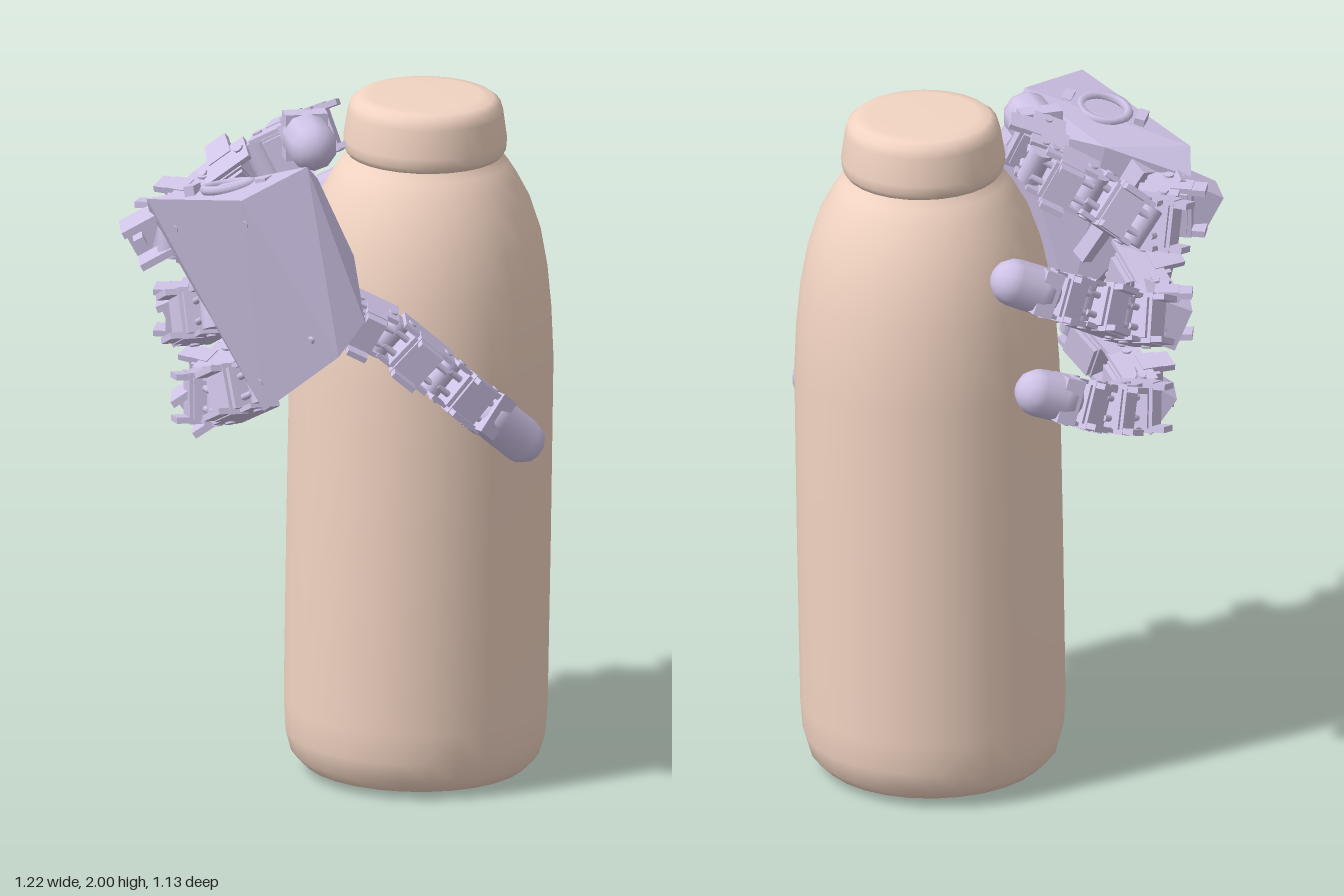
import * as THREE from 'three';
import { ConvexGeometry } from 'three/addons/geometries/ConvexGeometry.js';

const V = (x, y, z) => new THREE.Vector3(x, y, z);
const skin = new THREE.MeshStandardMaterial({ color: 0xf2d4c2 });
const shell = new THREE.MeshStandardMaterial({ color: 0xcfc3e6, flatShading: true });
const smoothShell = new THREE.MeshStandardMaterial({ color: 0xcfc3e6 });

function add(parent, name, geometry, material, x = 0, y = 0, z = 0) {
  const mesh = new THREE.Mesh(geometry, material);
  mesh.name = name;
  mesh.position.set(x, y, z);
  parent.add(mesh);
  return mesh;
}
const box = (parent, name, w, h, d, x, y, z) =>
  add(parent, name, new THREE.BoxGeometry(w, h, d), shell, x, y, z);

// Group whose z axis runs from a to b and whose y axis leans towards "out"
function boneFrame(name, a, b, out) {
  const z = b.clone().sub(a).normalize();
  const x = out.clone().cross(z).normalize();
  const y = z.clone().cross(x);
  const g = new THREE.Group();
  g.name = name;
  g.quaternion.setFromRotationMatrix(new THREE.Matrix4().makeBasis(x, y, z));
  g.position.copy(a);
  return g;
}

// One finger link: motor block, outer bracket, forked hinge plates, tendon rods, pin and screws
function phalanx(a, b, out, w) {
  const g = boneFrame('fingerLink', a, b, out);
  const L = a.distanceTo(b);
  box(g, 'motorBlock', w * 0.8, w * 0.85, L * 0.55, 0, 0, L * 0.5);
  box(g, 'blockCover', w, w * 0.4, L * 0.42, 0, w * 0.3, L * 0.5);
  box(g, 'linkPad', w * 0.7, w * 0.2, L * 0.5, 0, -w * 0.42, L * 0.5);
  for (const s of [-1, 1]) {
    box(g, 'outerBracket', w * 0.12, w * 0.3, L * 0.4, s * w * 0.42, w * 0.6, L * 0.5);
    box(g, 'forkPlate', w * 0.1, w * 0.66, L * 0.95, s * w * 0.43, -w * 0.05, L * 0.5);
    const rod = add(g, 'tendonRod', new THREE.CylinderGeometry(w * 0.07, w * 0.07, L, 8), smoothShell,
      s * w * 0.2, w * 0.2, L * 0.5);
    rod.rotation.x = Math.PI / 2;
    for (const t of [0.15, 0.85]) {
      const screw = add(g, 'screw', new THREE.CylinderGeometry(w * 0.1, w * 0.1, w * 0.06, 8), smoothShell,
        s * w * 0.49, 0, L * t);
      screw.rotation.z = Math.PI / 2;
    }
  }
  const pin = add(g, 'hingePin', new THREE.CylinderGeometry(w * 0.24, w * 0.24, w * 0.8, 12), smoothShell);
  pin.rotation.z = Math.PI / 2;
  return g;
}

// Rounded soft fingertip with a clamp at its root
function fingertip(a, b, out, w) {
  const g = boneFrame('fingertip', a, b, out);
  const L = a.distanceTo(b), r = w * 0.5;
  const pad = add(g, 'tipPad', new THREE.CapsuleGeometry(r, L * 0.8, 4, 10), smoothShell, 0, 0, L * 0.55);
  pad.rotation.x = Math.PI / 2;
  box(g, 'tipClamp', w * 0.95, w * 0.85, w * 0.4, 0, 0, 0);
  return g;
}

// Chain of links along points; the last span is the fingertip
function finger(name, points, w, axis) {
  const g = new THREE.Group();
  g.name = name;
  const p = points.map(q => V(...q));
  for (let i = 0; i < p.length - 1; i++) {
    const mid = p[i].clone().add(p[i + 1]).multiplyScalar(0.5);
    const out = mid.sub(V(axis[0], mid.y, axis[1]));
    const make = i === p.length - 2 ? fingertip : phalanx;
    g.add(make(p[i], p[i + 1], out, w * (1 - 0.015 * i)));
  }
  return g;
}

function makeBottle() {
  const g = new THREE.Group();
  g.name = 'bottle';
  const lathe = pts => new THREE.LatheGeometry(pts.map(([r, y]) => new THREE.Vector2(r, y)), 28);
  add(g, 'bottleBody', lathe([[0, 0], [0.27, 0], [0.32, 0.015], [0.355, 0.05], [0.372, 0.11], [0.378, 0.2],
    [0.379, 0.7], [0.378, 1.22], [0.37, 1.36], [0.357, 1.48], [0.336, 1.59], [0.302, 1.69], [0.264, 1.76],
    [0.238, 1.8], [0.216, 1.82], [0.205, 1.85]]), skin);
  add(g, 'bottleCap', lathe([[0.2, 1.822], [0.222, 1.825], [0.232, 1.842], [0.234, 1.87], [0.222, 1.95],
    [0.214, 1.975], [0.195, 1.99], [0.16, 1.995], [0, 1.995]]), skin);
  g.rotation.z = -0.017;
  g.position.set(0.138, 0.004, -0.19);
  return g;
}

function makePalm() {
  const g = new THREE.Group();
  g.name = 'palm';
  // Back plate corners first, then the inner edges
  const A = V(-0.5, 1.76, 0.3), B = V(-0.13, 1.86, 0.545), C = V(0.17, 1.43, 0.565), D = V(-0.14, 1.17, 0.32);
  const wrist = V(-0.28, 1.79, 0.17);
  add(g, 'palmShell', new ConvexGeometry([A, B, C, D, wrist,
    V(-0.02, 1.9, 0.29), V(0.19, 1.49, 0.395), V(-0.03, 1.83, 0.17), V(0.1, 1.63, 0.23),
    V(-0.52, 1.7, 0.22), V(-0.17, 1.26, 0.2), V(0.06, 1.38, 0.26)]), shell);

  // Local frame on the back plate: x across the plate, y up along it, z outward
  const center = A.clone().add(B).add(C).add(D).multiplyScalar(0.25);
  const normal = D.clone().sub(A).cross(B.clone().sub(A));
  const plate = boneFrame('backPlate', center, center.clone().add(normal), A.clone().sub(D));
  g.add(plate);
  for (const [x, y] of [[-0.17, 0.25], [0.17, 0.18], [-0.17, -0.25], [0.17, -0.2]]) {
    const s = add(plate, 'plateScrew', new THREE.CylinderGeometry(0.011, 0.011, 0.012, 10), smoothShell, x, y, 0);
    s.rotation.x = Math.PI / 2;
  }
  // Housings where the fingers leave the palm
  for (const y of [0.22, 0.0, -0.24])
    box(plate, 'knuckleHousing', 0.12, 0.13, 0.12, -0.19, y, -0.1);

  // Wrist socket with its locking lugs
  const seat = V(-0.24, 1.835, 0.34);
  const up = B.clone().sub(A).cross(wrist.clone().sub(A));
  const socket = boneFrame('wristSocket', seat, seat.clone().add(up), V(0, 0, 1));
  add(socket, 'socketRing', new THREE.TorusGeometry(0.07, 0.014, 6, 20), smoothShell);
  for (const s of [-1, 1]) box(socket, 'socketLug', 0.03, 0.06, 0.03, s * 0.11, 0, 0);
  g.add(socket);
  return g;
}

// U-shaped bracket standing off the outside of a knuckle
function motorBracket(x, y, z, turn, tilt) {
  const m = new THREE.Group();
  m.name = 'motorBracket';
  m.position.set(x, y, z);
  m.rotation.set(0, turn, tilt);
  box(m, 'bracketBase', 0.14, 0.13, 0.03, 0, 0, -0.05);
  for (const s of [-1, 1]) {
    box(m, 'bracketArm', 0.14, 0.02, 0.12, 0, s * 0.055, 0);
    box(m, 'bracketStud', 0.03, 0.03, 0.06, s * 0.04, 0, -0.01);
  }
  return m;
}

export function createModel() {
  const model = new THREE.Group();
  model.name = 'handHoldingBottle';
  model.add(makeBottle());

  const hand = new THREE.Group();
  hand.name = 'roboticHand';
  hand.add(makePalm());
  const grip = [0.16, -0.19];
  hand.add(finger('upperFinger', [[-0.46, 1.64, 0.21], [-0.47, 1.63, 0.07], [-0.44, 1.67, -0.08], [-0.3, 1.78, -0.12],
    [-0.15, 1.86, -0.15], [-0.13, 1.9, -0.01], [-0.07, 1.9, 0.095]], 0.155, [-0.2, 0.05]));
  hand.add(finger('middleFinger', [[-0.32, 1.44, 0.25], [-0.44, 1.35, 0.11], [-0.47, 1.36, -0.06], [-0.41, 1.44, -0.21],
    [-0.32, 1.52, -0.32], [-0.23, 1.58, -0.41], [-0.15, 1.62, -0.45]], 0.15, grip));
  hand.add(finger('lowerFinger', [[-0.18, 1.23, 0.24], [-0.34, 1.13, 0.13], [-0.44, 1.1, -0.03], [-0.41, 1.14, -0.18],
    [-0.36, 1.19, -0.3], [-0.29, 1.25, -0.4], [-0.22, 1.28, -0.44]], 0.15, grip));
  hand.add(finger('thumb', [[0.1, 1.49, 0.33], [0.22, 1.42, 0.27], [0.35, 1.29, 0.2],
    [0.46, 1.16, 0.1], [0.535, 1.06, 0.01]], 0.14, grip));
  hand.add(motorBracket(-0.51, 1.63, 0.22, 0.4, 0.5), motorBracket(-0.47, 1.35, 0.03, 0.3, 0.4),
    motorBracket(-0.42, 1.09, 0.03, 0.3, 0.6));
  model.add(hand);
  return model;
}
